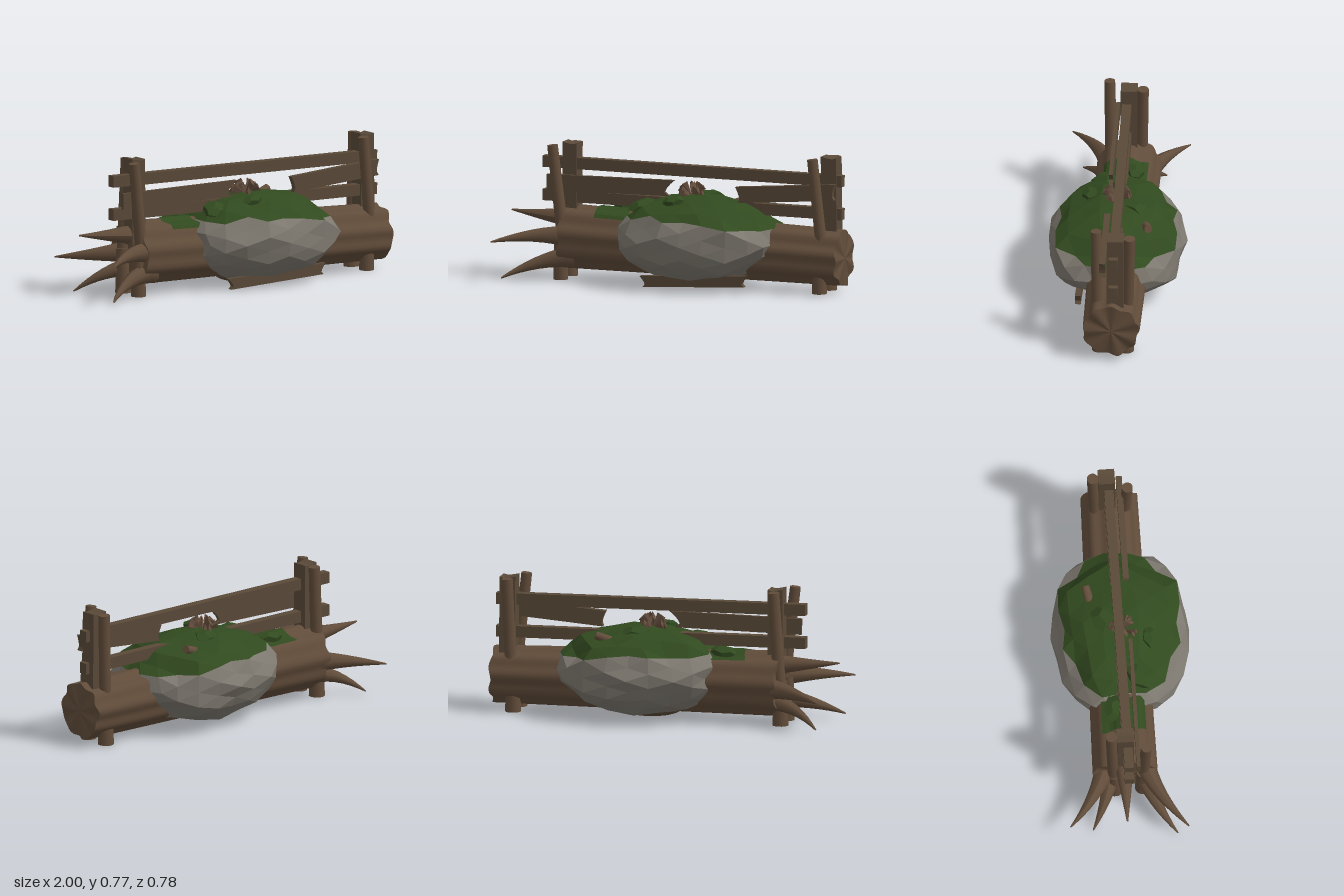
import * as THREE from 'three';

const V = (x, y, z) => new THREE.Vector3(x, y, z);
const mat = (name, color, extra = {}) => new THREE.MeshStandardMaterial({ name, color, ...extra });

export function createModel() {
  const model = new THREE.Group();
  const bark = mat('bark brown', 0x614c3a);
  const timber = mat('timber brown', 0x594938, { flatShading: true });
  const stone = mat('stone grey', 0x7d786f, { flatShading: true });
  const moss = mat('moss green', 0x314a1f, { flatShading: true });
  const dryLeaf = mat('dry leaf brown', 0x644d3d, { flatShading: true, side: THREE.DoubleSide });

  const add = (name, geo, material) => {
    const mesh = new THREE.Mesh(geo, material);
    mesh.name = name;
    model.add(mesh);
    return mesh;
  };

  // Move every vertex of a geometry by a rule
  const warp = (geo, rule) => {
    const p = geo.attributes.position;
    const v = V(0, 0, 0);
    for (let i = 0; i < p.count; i++) {
      rule(v.fromBufferAttribute(p, i), i);
      p.setXYZ(i, v.x, v.y, v.z);
    }
    geo.computeVertexNormals();
    return geo;
  };

  // Fallen log: fluted, slightly thicker at the root end, with uneven cut rims
  const flute = (v) => {
    const a = Math.atan2(v.z, v.y);
    const r = Math.hypot(v.y, v.z);
    const t = (1 - v.x) / 1.66;
    const s = 1 + 0.045 * Math.cos(9 * a + 0.6) + 0.02 * Math.sin(4 * a) + 0.15 * t;
    if (r > 0.1) v.x -= 0.008 + 0.008 * Math.sin(7 * a);
    v.y = v.y * s + 0.195 + 0.035 * t;
    v.z = v.z * s - 0.022 * t;
  };
  const log = new THREE.CylinderGeometry(0.155, 0.155, 1.65, 54, 6);
  add('log', warp(log.rotateZ(-Math.PI / 2).translate(0.172, 0, 0), flute), bark);
  const patch = new THREE.CylinderGeometry(0.161, 0.161, 0.2, 12, 2, true, Math.PI * 1.5 - 0.7, 1.45);
  add('logMoss', warp(patch.rotateZ(-Math.PI / 2).translate(-0.36, 0, 0), flute), moss);

  // Curved tapering roots
  const root = (a, b, c, r) => {
    const curve = new THREE.QuadraticBezierCurve3(a, b, c);
    const n = 8, sides = 9;
    const geo = new THREE.TubeGeometry(curve, n, r, sides, false);
    add('root', warp(geo, (v, i) => {
      const t = Math.floor(i / (sides + 1)) / n;
      v.lerp(curve.getPointAt(t), 0.94 * t);
    }), bark);
  };
  root(V(-0.58, 0.33, -0.03), V(-0.8, 0.34, -0.03), V(-1, 0.36, -0.035), 0.065);
  root(V(-0.58, 0.24, 0.08), V(-0.78, 0.27, 0.11), V(-1, 0.225, 0.31), 0.065);
  root(V(-0.58, 0.22, -0.12), V(-0.78, 0.21, -0.18), V(-0.95, 0.19, -0.35), 0.065);
  root(V(-0.58, 0.13, 0.07), V(-0.78, 0.12, 0.1), V(-0.96, 0.015, 0.25), 0.065);
  root(V(-0.58, 0.14, -0.09), V(-0.76, 0.14, -0.12), V(-0.91, 0.01, -0.22), 0.06);

  // Boulder: faceted, with the upper faces covered in moss
  const edge = (x) => 0.388 - 0.045 * x + 0.015 * Math.sin(9 * x);
  const shape = warp(new THREE.IcosahedronGeometry(1, 3), (v) => {
    const plan = (Math.abs(v.x) ** 2.4 + Math.abs(v.z) ** 2.4) ** (2 / 2.4);
    const bump = 1 + 0.035 * Math.sin(9 * v.x + 1) * Math.sin(7 * v.y + 2)
      + 0.025 * Math.sin(8 * v.z + 3 * v.x) + 0.025 * Math.sin(17 * v.x + 13 * v.y + 11 * v.z);
    const k = bump / Math.sqrt(plan + v.y * v.y);
    v.set(0.145 + v.x * k * 0.475, 0.265 + v.y * k * 0.25, v.z * k * 0.378);
    if (Math.abs(v.y - edge(v.x)) < 0.03) v.y = edge(v.x);
  });
  const faces = { boulder: [], boulderMoss: [] };
  const pos = shape.attributes.position.array;
  for (let i = 0; i < pos.length; i += 9) {
    const cx = (pos[i] + pos[i + 3] + pos[i + 6]) / 3;
    const cy = (pos[i + 1] + pos[i + 4] + pos[i + 7]) / 3;
    const list = cy > edge(cx) + 0.002 ? faces.boulderMoss : faces.boulder;
    list.push(...pos.slice(i, i + 9));
  }
  for (const [name, list] of Object.entries(faces)) {
    const geo = new THREE.BufferGeometry();
    geo.setAttribute('position', new THREE.Float32BufferAttribute(list, 3));
    geo.computeVertexNormals();
    add(name, geo, name === 'boulder' ? stone : moss);
  }

  // Moss clumps
  const clumps = [[-0.34, 0.4, -0.07, 0.07], [0.035, 0.49, 0.165, 0.06],
    [0.15, 0.49, -0.09, 0.085], [-0.17, 0.445, 0.09, 0.085]];
  clumps.forEach(([x, y, z, r], i) => {
    const clump = add('mossClump', new THREE.DodecahedronGeometry(r), moss);
    clump.scale.set(1.1, 0.42, 0.8);
    clump.position.set(x, y, z);
    clump.rotation.set(0.2 * Math.sign(z), 0.3 * i, 0.1);
  });

  // Round pole between two points
  const pole = (name, a, b, r0, r1) => {
    const d = b.clone().sub(a);
    const mesh = add(name, new THREE.CylinderGeometry(r1, r0, d.length(), 14), bark);
    mesh.position.copy(a).lerp(b, 0.5);
    mesh.quaternion.setFromUnitVectors(V(0, 1, 0), d.normalize());
  };
  // Leaning posts above the log, with short feet below it
  pole('leftFrontPost', V(0.887, 0.25, 0.078), V(0.835, 0.757, 0.09), 0.033, 0.03);
  pole('leftBackPost', V(0.88, 0.25, -0.088), V(0.9, 0.755, -0.1), 0.033, 0.032);
  pole('rightFrontPost', V(-0.655, 0.25, 0.078), V(-0.712, 0.757, 0.09), 0.035, 0.03);
  pole('rightBackPost', V(-0.665, 0.25, -0.088), V(-0.635, 0.755, -0.1), 0.035, 0.032);
  for (const x of [0.87, -0.67]) {
    pole('foot', V(x, 0, 0.07), V(x, 0.25, 0.075), 0.042, 0.036);
    pole('foot', V(x, 0, -0.08), V(x, 0.25, -0.085), 0.045, 0.036);
  }
  pole('branchStub', V(0.25, 0.43, -0.15), V(0.37, 0.478, -0.178), 0.03, 0.022);

  // Board between two points; a snapped end gets ragged teeth
  const board = (name, a, b, h, d, snapA = 0, snapB = 0) => {
    const dir = b.clone().sub(a);
    const len = dir.length();
    const teeth = [0.5, 1, 0.8, 0.45, 0];
    const geo = warp(new THREE.BoxGeometry(len, h, d, 1, 4, 1), (v) => {
      const tooth = teeth[Math.round((v.y / h + 0.5) * 4)];
      v.x += v.x < 0 ? tooth * snapA : -tooth * snapB;
    });
    const mesh = add(name, geo, timber);
    mesh.position.copy(a).lerp(b, 0.5);
    mesh.quaternion.setFromUnitVectors(V(1, 0, 0), dir.normalize());
  };
  board('topRail', V(-0.8, 0.65, -0.01), V(0.98, 0.628, -0.012), 0.064, 0.052);
  board('lowerRail', V(-0.8, 0.462, -0.01), V(0.98, 0.442, -0.012), 0.064, 0.052);
  board('brokenRail', V(-0.76, 0.54, 0.045), V(0, 0.545, 0.05), 0.09, 0.022, 0, 0.06);
  board('brokenRail', V(0.37, 0.528, 0.05), V(0.96, 0.572, 0.05), 0.09, 0.034, 0.02, 0.02);
  board('fallenBoard', V(-0.15, 0.033, 0.19), V(0.49, 0.067, 0.21), 0.062, 0.032, 0.03, 0.03);
  board('leftUpright', V(0.91, 0.28, -0.022), V(0.905, 0.765, -0.023), 0.09, 0.094, 0, 0.012);
  board('rightUpright', V(-0.635, 0.28, -0.022), V(-0.635, 0.768, -0.023), 0.085, 0.094, 0, 0.012);

  // Earthy lump under the boulder
  const lump = add('underLump', new THREE.IcosahedronGeometry(1, 3), timber);
  lump.scale.set(0.19, 0.05, 0.15);
  lump.position.set(0.1, 0.053, 0);

  // Tuft of dry leaves on top
  const tuft = new THREE.Group();
  tuft.name = 'leafTuft';
  for (let i = 0; i < 16; i++) {
    const leaf = new THREE.Mesh(new THREE.ConeGeometry(0.028, 0.085, 4), dryLeaf);
    leaf.geometry.scale(1, -1, 0.35).translate(0, 0.042, 0);
    leaf.rotation.set(0, i * 2.4, 0.95 + 0.35 * Math.sin(i * 3), 'YXZ');
    tuft.add(leaf);
  }
  tuft.position.set(0.09, 0.5, 0.01);
  model.add(tuft);

  return model;
}
